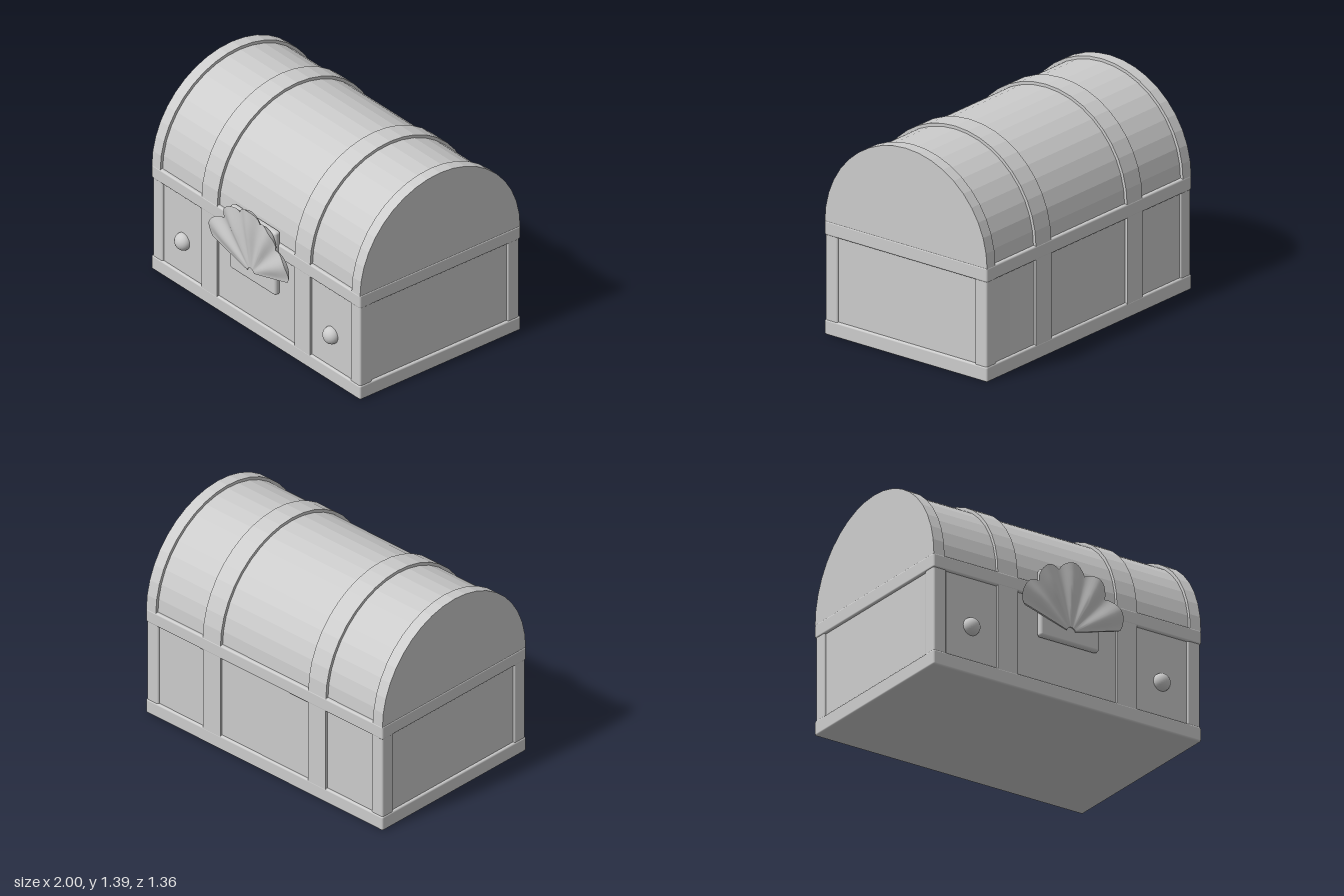
import * as THREE from 'three';
import { toCreasedNormals } from 'three/addons/utils/BufferGeometryUtils.js';
import { RoundedBoxGeometry } from 'three/addons/geometries/RoundedBoxGeometry.js';

const ZC = -0.033; // middle of the chest body in depth
const HALF_D = 0.642;

// Scallop shell: a fan of rounded lobes, ridged in front and flat behind
function shellGeometry() {
  const valleys = [16, 49, 76.5, 103.5, 131, 164];
  const valleyR = [0.375, 0.375, 0.41, 0.41, 0.375, 0.375];
  const bulge = [0.048, 0.05, 0.05, 0.05, 0.048];
  const perLobe = 12, nr = 6, ring = 2 * (nr + 1);
  const pos = [], idx = [];
  let cols = 0;
  const addColumn = (lobe, t) => {
    const a = THREE.MathUtils.degToRad(THREE.MathUtils.lerp(valleys[lobe], valleys[lobe + 1], t));
    const s = Math.sin(Math.PI * t);
    const rim = THREE.MathUtils.lerp(valleyR[lobe], valleyR[lobe + 1], t) + bulge[lobe] * Math.pow(s, 0.7);
    const point = (f, z, scale) => {
      const r = THREE.MathUtils.lerp(0.034, rim * scale, f);
      pos.push(r * Math.cos(a), 0.46 + r * Math.sin(a), z);
    };
    for (let j = 0; j <= nr; j++) {
      const f = j / nr;
      point(f, 0.65 + (0.006 + 0.024 * s * s) * Math.min(1, f * 1.5), 1);
    }
    for (let j = nr; j >= 0; j--) point(j / nr, 0.643, 0.96);
    cols++;
  };
  for (let l = 0; l < 5; l++) {
    for (let k = 0; k < perLobe; k++) addColumn(l, k / perLobe);
  }
  addColumn(4, 1);
  for (let i = 0; i < cols - 1; i++) {
    for (let j = 0; j < ring; j++) {
      const a = i * ring + j, b = i * ring + (j + 1) % ring;
      idx.push(a, b, b + ring, a, b + ring, a + ring);
    }
  }
  // straight edges at both ends of the fan
  const last = (cols - 1) * ring;
  for (let j = 0; j < nr; j++) {
    const f0 = j, f1 = j + 1, b0 = ring - 1 - j, b1 = ring - 2 - j;
    idx.push(f0, b0, b1, f0, b1, f1);
    idx.push(last + f0, last + b1, last + b0, last + f0, last + f1, last + b1);
  }
  const g = new THREE.BufferGeometry();
  g.setAttribute('position', new THREE.Float32BufferAttribute(pos, 3));
  g.setIndex(idx);
  return toCreasedNormals(g, 0.8);
}

export function createModel() {
  const chest = new THREE.Group();
  chest.name = 'treasureChest';
  const grey = new THREE.MeshStandardMaterial({ color: 0xcccccc });
  grey.name = 'lightGrey';

  const add = (name, geometry, x, y, z) => {
    const mesh = new THREE.Mesh(geometry, grey);
    mesh.name = name;
    mesh.position.set(x, y, z);
    chest.add(mesh);
    return mesh;
  };
  const rounded = (w, h, d, r = 0.012) => new RoundedBoxGeometry(w, h, d, 3, r);

  // Body panels, set back from the frame
  add('bodyPanels', new THREE.BoxGeometry(1.965, 0.7, 1.25), 0, 0.365, ZC);

  // Rails around the bottom and top of the body
  add('bottomRail', rounded(2, 0.1, 2 * HALF_D), 0, 0.05, ZC);
  add('topRail', rounded(2, 0.095, 2 * HALF_D), 0, 0.705, ZC);

  // Corner posts, and straps running up the front and back
  for (const sx of [1, -1]) {
    for (const sz of [1, -1]) {
      add('cornerPost', rounded(0.095, 0.6, 0.095), sx * 0.9475, 0.38, ZC + sz * 0.589);
    }
    add('bodyStrap', new THREE.BoxGeometry(0.148, 0.69, 2 * HALF_D - 0.002), sx * 0.445, 0.38, ZC);
  }

  // Barrel lid with raised bands, faceted
  const halfBarrel = (name, r, length, x) => {
    const g = new THREE.CylinderGeometry(r, r, length, 20, 1, false, 0, Math.PI).toNonIndexed();
    g.rotateZ(Math.PI / 2);
    g.computeVertexNormals();
    add(name, g, x, 0.747, ZC);
  };
  halfBarrel('lid', 0.62, 1.9, 0);
  for (const s of [1, -1]) {
    halfBarrel('lidEndBand', 0.64, 0.08, s * 0.957);
    halfBarrel('lidBand', 0.64, 0.148, s * 0.445);
  }

  // Lock plate, shell clasp and knobs
  add('lockPlate', rounded(0.44, 0.455, 0.045, 0.018), 0, 0.617, 0.614);
  add('shellClasp', shellGeometry(), 0, 0, 0);
  for (const s of [1, -1]) {
    add('knob', new THREE.SphereGeometry(0.058, 24, 16), s * 0.71, 0.33, 0.597).scale.z = 0.9;
  }

  return chest;
}
